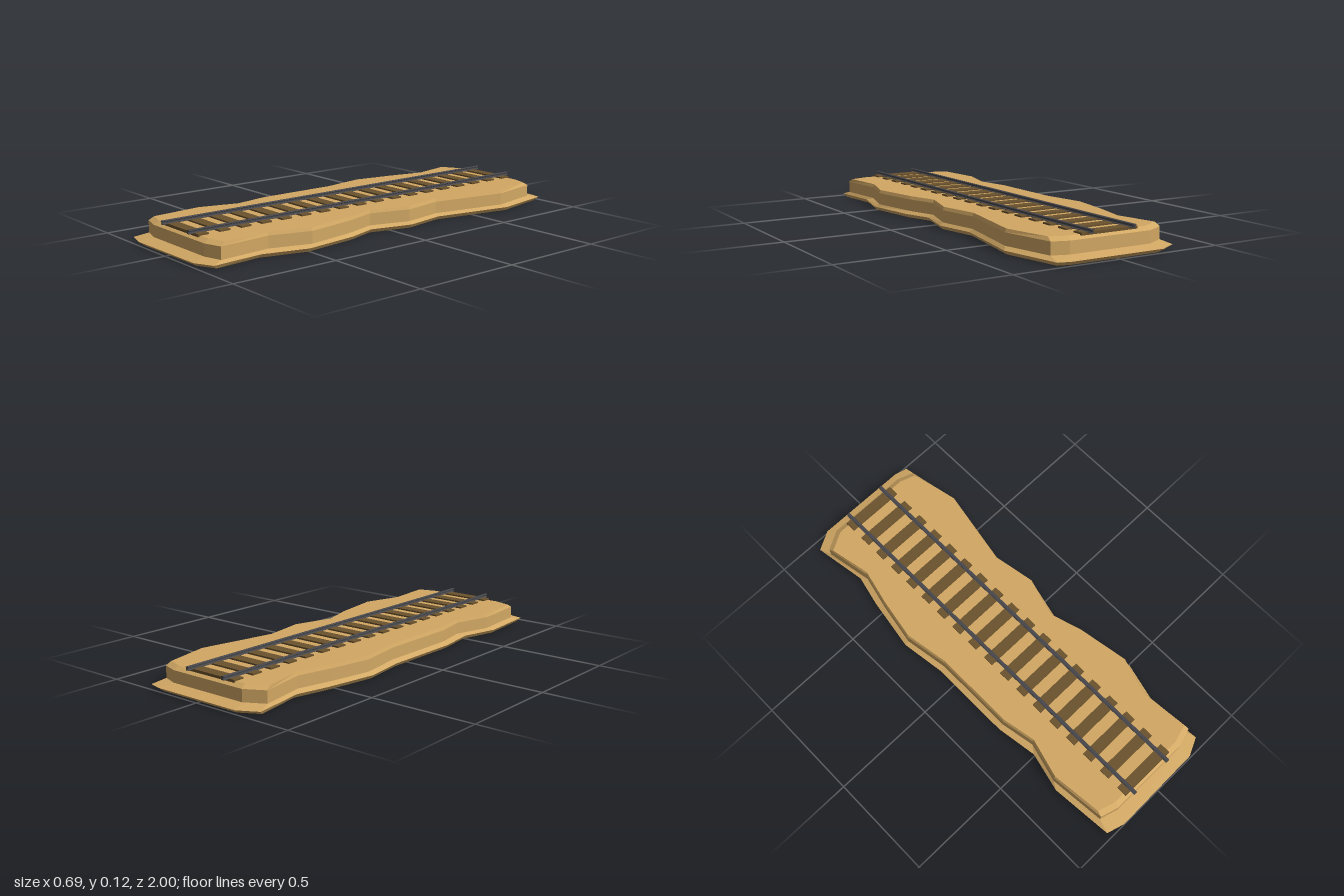
import * as THREE from 'three';

// Matching ground outlines as [x, z], running back -> left -> front -> right
const skirt = [
  [-0.22, -1], [0.23, -1], [0.29, -0.985], [0.345, -0.695], [0.27, -0.3], [0.305, -0.1],
  [0.255, 0.1], [0.3, 0.24], [0.335, 0.505], [0.28, 0.715], [0.3, 0.955], [0.215, 0.995],
  [-0.22, 1], [-0.305, 0.975], [-0.33, 0.68], [-0.285, 0.495], [-0.315, 0.3],
  [-0.315, -0.09], [-0.345, -0.3], [-0.305, -0.55], [-0.27, -0.7], [-0.31, -0.95],
];
const wall = [
  [-0.2, -0.94], [0.2, -0.94], [0.275, -0.915], [0.325, -0.67], [0.255, -0.3], [0.29, -0.1],
  [0.235, 0.09], [0.28, 0.24], [0.32, 0.48], [0.265, 0.665], [0.285, 0.91], [0.2, 0.935],
  [-0.2, 0.935], [-0.285, 0.91], [-0.31, 0.645], [-0.26, 0.46], [-0.29, 0.3],
  [-0.29, -0.09], [-0.325, -0.3], [-0.29, -0.5], [-0.25, -0.67], [-0.29, -0.89],
];

// Pull an outline inward by fixed amounts at the sides and ends
const inset = (ring, dx, dz) => ring.map(([x, z]) => [
  x - Math.sign(x) * dx,
  Math.abs(z) > 0.85 ? z - Math.sign(z) * dz : z,
]);

// Skin a stack of outlines and close it at both ends
function loft(levels) {
  const n = levels[0].ring.length;
  const position = levels.flatMap(({ ring, y }) => ring.flatMap(([x, z]) => [x, y, z]));
  const index = [];
  for (let l = 0; l < levels.length - 1; l++) {
    for (let i = 0; i < n; i++) {
      const a = l * n + i, b = l * n + (i + 1) % n;
      index.push(a, a + n, b, b, a + n, b + n);
    }
  }
  const cap = (level, up) => {
    const pts = levels[level].ring.map(([x, z]) => new THREE.Vector2(x, -z));
    for (const [a, b, c] of THREE.ShapeUtils.triangulateShape(pts, [])) {
      const ccw = THREE.ShapeUtils.area([pts[a], pts[b], pts[c]]) > 0;
      const tri = ccw === up ? [a, b, c] : [a, c, b];
      index.push(...tri.map((i) => i + level * n));
    }
  };
  cap(0, false);
  cap(levels.length - 1, true);
  const geo = new THREE.BufferGeometry();
  geo.setAttribute('position', new THREE.Float32BufferAttribute(position, 3));
  geo.setIndex(index);
  const flat = geo.toNonIndexed();
  flat.computeVertexNormals();
  return flat;
}

export function createModel() {
  const model = new THREE.Group();
  model.name = 'railwayTrack';
  const material = (color) => new THREE.MeshStandardMaterial({ color, flatShading: true });
  const sand = material(0xd2a864), wood = material(0x6b522c), steel = material(0x48484c);

  // Sandy bed: flared skirt, upright wall, bevelled top
  const bed = new THREE.Mesh(loft([
    { ring: inset(skirt, 0.013, 0.02), y: 0 },
    { ring: skirt, y: 0.017 },
    { ring: wall, y: 0.03 },
    { ring: wall, y: 0.085 },
    { ring: inset(wall, 0.006, 0.025), y: 0.1 },
  ]), sand);
  bed.name = 'sandBed';
  model.add(bed);

  // Sleepers
  const sleepers = new THREE.Group();
  sleepers.name = 'sleepers';
  const sleeperGeo = new THREE.BoxGeometry(0.28, 0.012, 0.052);
  for (let i = 0; i < 18; i++) {
    const sleeper = new THREE.Mesh(sleeperGeo, wood);
    sleeper.name = 'sleeper';
    sleeper.position.set(-0.003, 0.101, -0.9 + i * 0.1057);
    sleepers.add(sleeper);
  }
  model.add(sleepers);

  // Rails: foot, thin web and bevelled head swept along z
  const half = [[0.008, 0.105], [0.008, 0.107], [0.002, 0.11], [0.002, 0.115], [0.008, 0.118], [0.008, 0.12], [0.004, 0.122]];
  const outline = [...half, ...half.map(([x, y]) => [-x, y]).reverse()];
  const profile = new THREE.Shape(outline.map(([x, y]) => new THREE.Vector2(x, y)));
  const railGeo = new THREE.ExtrudeGeometry(profile, { depth: 1.9, bevelEnabled: false });
  for (const [name, x] of [['rightRail', -0.107], ['leftRail', 0.1]]) {
    const rail = new THREE.Mesh(railGeo, steel);
    rail.name = name;
    rail.position.set(x, 0, -0.953);
    model.add(rail);
  }
  return model;
}
